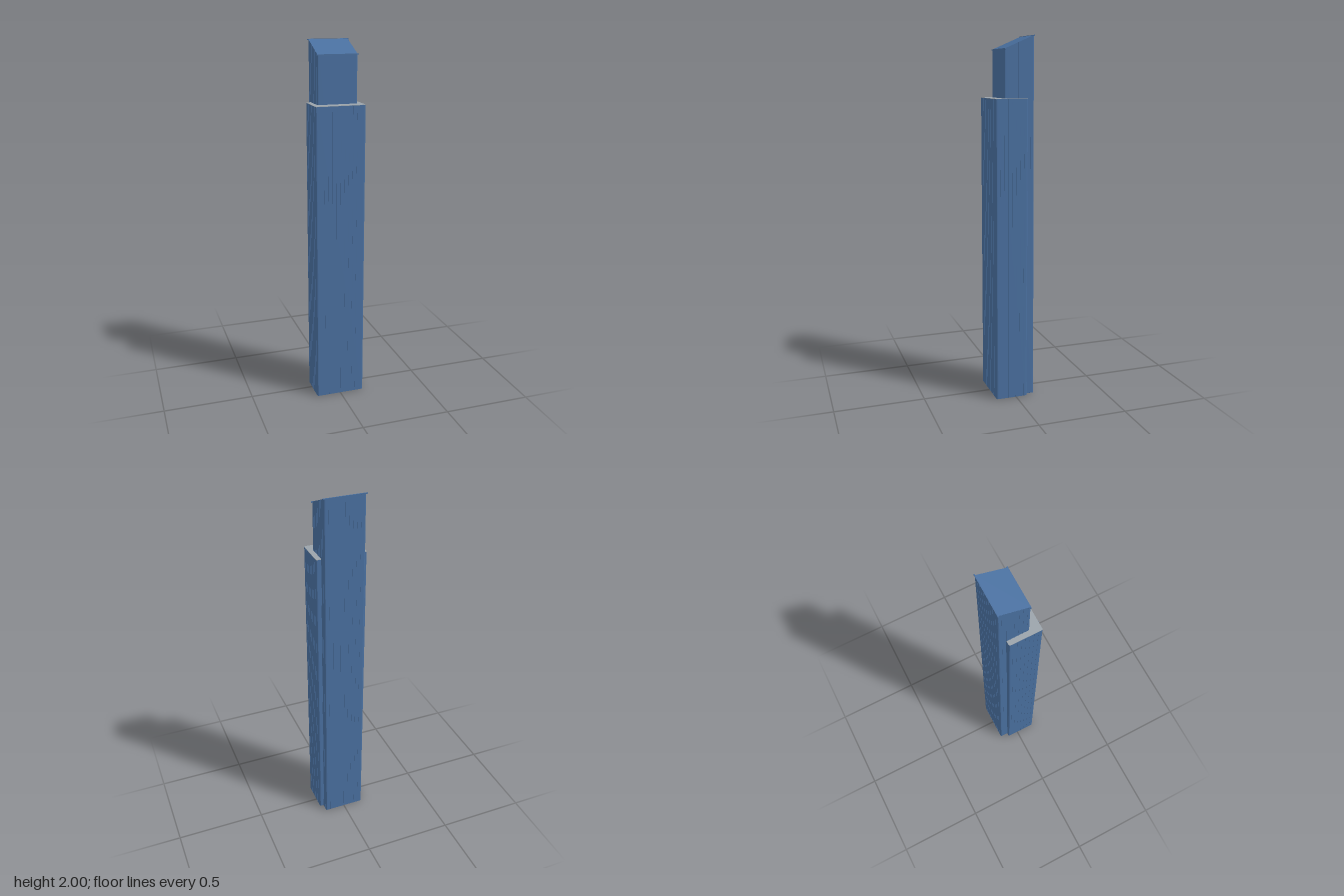
import * as THREE from 'three';

const blue = new THREE.MeshStandardMaterial({ color: 0x4a70a0 });
blue.name = 'blue glass';
const grey = new THREE.MeshStandardMaterial({ color: 0x9aa3aa });
grey.name = 'grey roof';

// Upright prism with rounded corners, standing on y = 0
function roundedPrism(x0, x1, z0, z1, height, r) {
  const s = new THREE.Shape();
  const a = -z1, b = -z0;
  s.moveTo(x0 + r, a);
  s.lineTo(x1 - r, a);
  s.quadraticCurveTo(x1, a, x1, a + r);
  s.lineTo(x1, b - r);
  s.quadraticCurveTo(x1, b, x1 - r, b);
  s.lineTo(x0 + r, b);
  s.quadraticCurveTo(x0, b, x0, b - r);
  s.lineTo(x0, a + r);
  s.quadraticCurveTo(x0, a, x0 + r, a);
  const g = new THREE.ExtrudeGeometry(s, { depth: height, bevelEnabled: false, curveSegments: 3 });
  return g.rotateX(-Math.PI / 2);
}

// Height of the sloping tower roof at depth z
const roofY = (z) => 1.927 + (0.057 - z) * (0.071 / 0.164);

// Narrow a unit-high shape towards the top and cut it along the roof slope
function taper(g) {
  const p = g.attributes.position;
  for (let i = 0; i < p.count; i++) {
    const t = p.getY(i);
    const x = p.getX(i) * (1 - 0.06 * t);
    const z = 0.057 + (p.getZ(i) - 0.057) * (1 - 0.04 * t);
    p.setXYZ(i, x, t * roofY(z), z);
  }
  g.computeVertexNormals();
  return g;
}

export function createModel() {
  const model = new THREE.Group();
  const add = (name, geometry, material, parent = model) => {
    const m = new THREE.Mesh(geometry, material);
    m.name = name;
    parent.add(m);
    return m;
  };

  // Lower block with its flat roof
  add('frontBlock', roundedPrism(-0.138, 0.138, -0.065, 0.114, 1.669, 0.008), blue);
  add('frontBlockRoof', roundedPrism(-0.138, 0.138, -0.065, 0.114, 0.002, 0.008), grey).position.y = 1.669;

  // Tall tapering tower with a sloping top
  add('tower', taper(roundedPrism(-0.116, 0.116, -0.113, 0.057, 1, 0.007)), blue);

  // Slim vertical mullions on both volumes
  const mullions = new THREE.Group();
  mullions.name = 'mullions';
  model.add(mullions);
  const thin = 0.002;
  for (let i = -4; i <= 4; i++) {
    const x = i * 0.0225;
    const back = new THREE.BoxGeometry(thin, 1, thin).translate(x, 0.5, -0.113);
    add('towerBackMullion', taper(back), blue, mullions);
    const front = new THREE.BoxGeometry(thin, 1.669, thin).translate(x, 0.8345, 0.114);
    add('blockFrontMullion', front, blue, mullions);
  }
  for (const side of [-1, 1]) {
    for (let i = 0; i < 7; i++) {
      const z = -0.092 + i * 0.0225;
      const g = new THREE.BoxGeometry(thin, 1, thin).translate(side * 0.116, 0.5, z);
      add('towerSideMullion', taper(g), blue, mullions);
      const h = new THREE.BoxGeometry(thin, 1.669, thin).translate(side * 0.138, 0.8345, z + 0.048);
      add('blockSideMullion', h, blue, mullions);
    }
  }

  // Thin rails along the low and high edges of the sloping roof
  for (const [name, z] of [['lowRoofRail', 0.055], ['highRoofRail', -0.105]]) {
    add(name, new THREE.BoxGeometry(0.23, 0.006, 0.005), blue).position.set(0, roofY(z) - 0.002, z);
  }
  return model;
}
